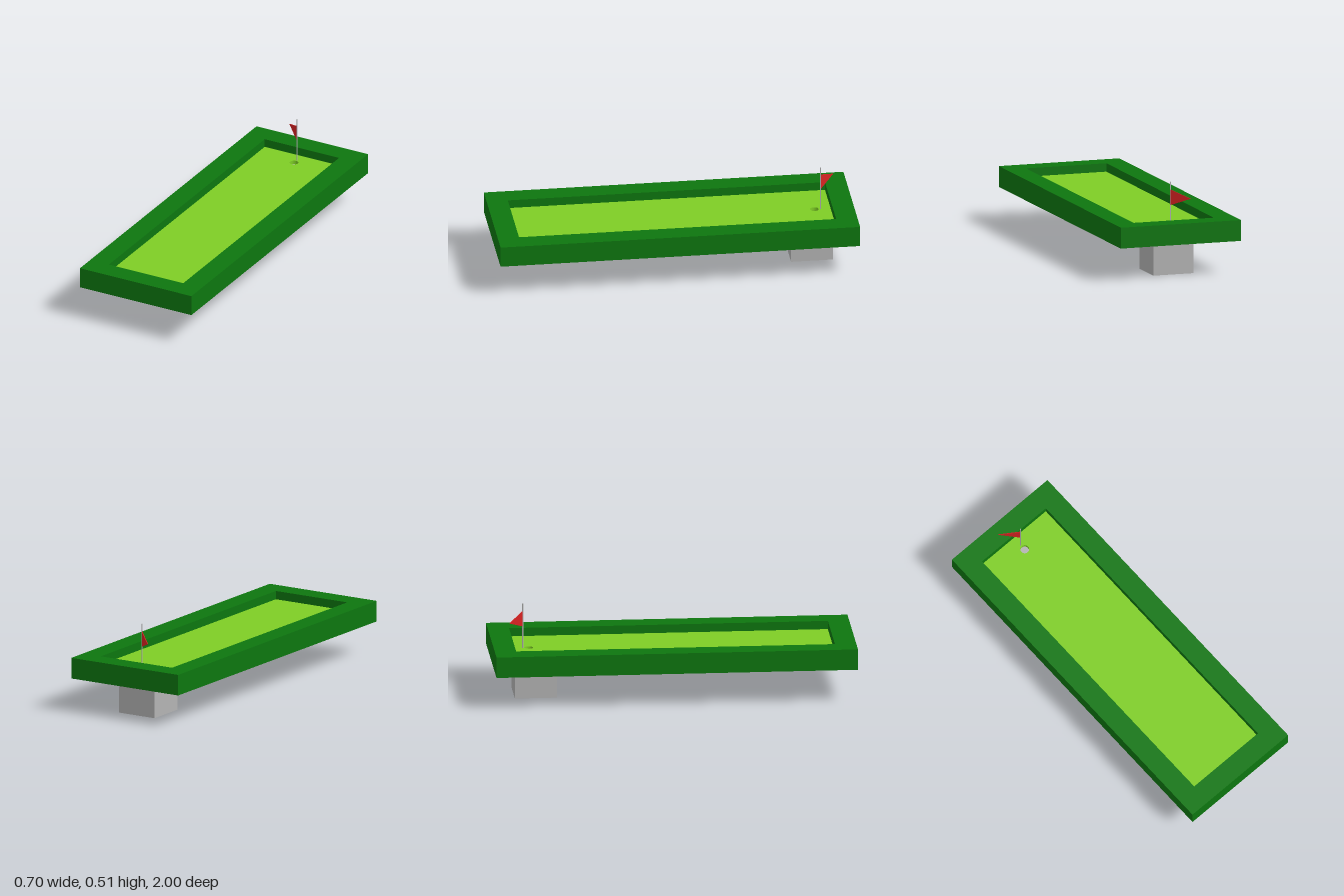
import * as THREE from 'three';

const material = (name, color) => {
  const m = new THREE.MeshStandardMaterial({ color });
  m.name = name;
  return m;
};

function rectangle(Type, x0, y0, x1, y1) {
  const p = new Type();
  p.moveTo(x0, y0);
  p.lineTo(x1, y0);
  p.lineTo(x1, y1);
  p.lineTo(x0, y1);
  p.closePath();
  return p;
}

// Lays a plan shape (x, -z) flat, rising from y = bottom.
function slab(shape, bottom, height) {
  const g = new THREE.ExtrudeGeometry(shape, { depth: height, bevelEnabled: false, curveSegments: 16 });
  return g.rotateX(-Math.PI / 2).translate(0, bottom, 0);
}

export function createModel() {
  const group = new THREE.Group();
  group.name = 'puttingGreen';
  const darkGreen = material('dark green', 0x0d760f);
  const lime = material('lime green', 0x7ecd25);
  const grey = material('grey', 0xb3b3b3);
  const red = material('red', 0xd82222);

  const add = (name, geometry, mat) => {
    const mesh = new THREE.Mesh(geometry, mat);
    mesh.name = name;
    group.add(mesh);
    return mesh;
  };

  const turfBottom = 0.235, turfTop = 0.257;

  // Rectangular border, open through the middle
  const border = rectangle(THREE.Shape, -0.352, -1, 0.352, 1);
  border.holes.push(rectangle(THREE.Path, -0.235, -0.882, 0.235, 0.882));
  add('border', slab(border, 0.187, 0.117), darkGreen);

  // Sunken turf with the cup cut through it
  const turf = rectangle(THREE.Shape, -0.235, -0.882, 0.235, 0.882);
  const cup = new THREE.Path();
  cup.absarc(0, 0.792, 0.024, 0, Math.PI * 2, true);
  turf.holes.push(cup);
  add('turf', slab(turf, turfBottom, turfTop - turfBottom), lime);

  // Block under the cup; its top is the cup floor
  const block = new THREE.BoxGeometry(0.236, turfBottom, 0.232);
  add('cupBlock', block.translate(0, turfBottom / 2, -0.763), grey);

  // Flag pole just behind the cup
  const poleTop = 0.51, poleZ = -0.826;
  const pole = new THREE.CylinderGeometry(0.0032, 0.0032, poleTop - turfTop, 12);
  add('flagPole', pole.translate(0, (poleTop + turfTop) / 2, poleZ), grey);

  // Triangular pennant swung back and to the side
  const pennant = new THREE.Shape([
    new THREE.Vector2(0, 0.38),
    new THREE.Vector2(0.119, 0.423),
    new THREE.Vector2(0, 0.466),
  ]);
  const flag = add('flag', new THREE.ExtrudeGeometry(pennant, { depth: 0.004, bevelEnabled: false })
    .translate(0, 0, -0.002), red);
  flag.position.set(-0.002, 0, poleZ - 0.002);
  flag.rotation.y = Math.PI - Math.atan2(0.078, 0.088);

  return group;
}
